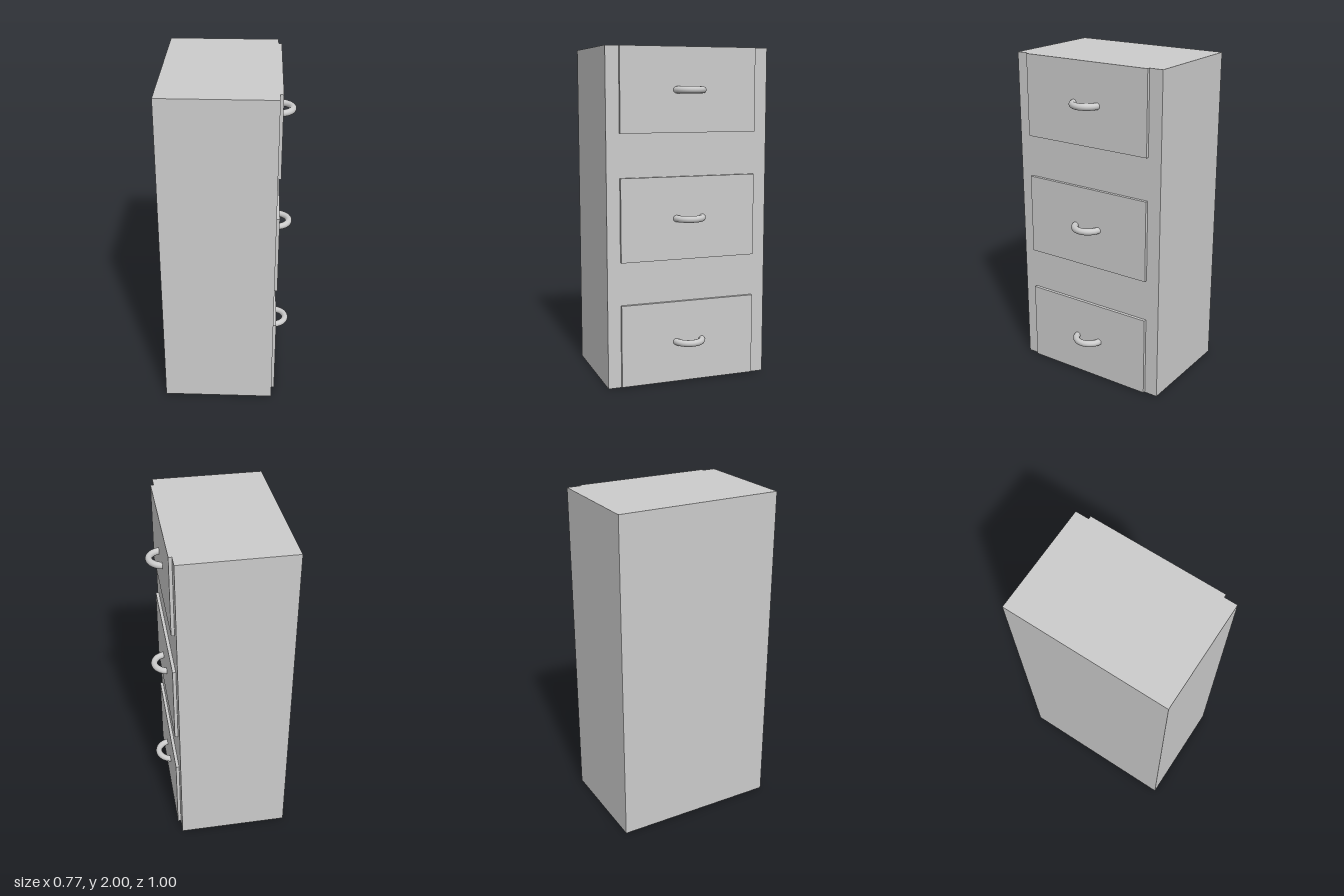
import * as THREE from 'three';

export function createModel() {
  const group = new THREE.Group();
  const material = new THREE.MeshStandardMaterial({ color: 0xcccccc });

  const add = (name, geometry, x, y, z) => {
    const mesh = new THREE.Mesh(geometry, material);
    mesh.name = name;
    mesh.position.set(x, y, z);
    group.add(mesh);
  };

  // Cabinet body; the drawers open towards +x
  const back = -0.385, face = 0.279, drawerFace = 0.298;
  add('cabinetBody', new THREE.BoxGeometry(face - back, 2, 1), (face + back) / 2, 1, 0);

  // Thin drawer panel and a half-ring pull lying flat
  const panel = new THREE.BoxGeometry(drawerFace - face, 0.494, 0.837);
  const pull = new THREE.TorusGeometry(0.083, 0.02, 16, 32, Math.PI)
    .rotateZ(-Math.PI / 2)
    .rotateX(Math.PI / 2);

  // Three evenly spaced drawers
  for (let i = 0; i < 3; i++) {
    const y = 0.253 + i * 0.75;
    add('drawerFront' + (i + 1), panel, (face + drawerFace) / 2, y, 0.002);
    add('drawerHandle' + (i + 1), pull, 0.282, y, -0.001);
  }

  return group;
}
